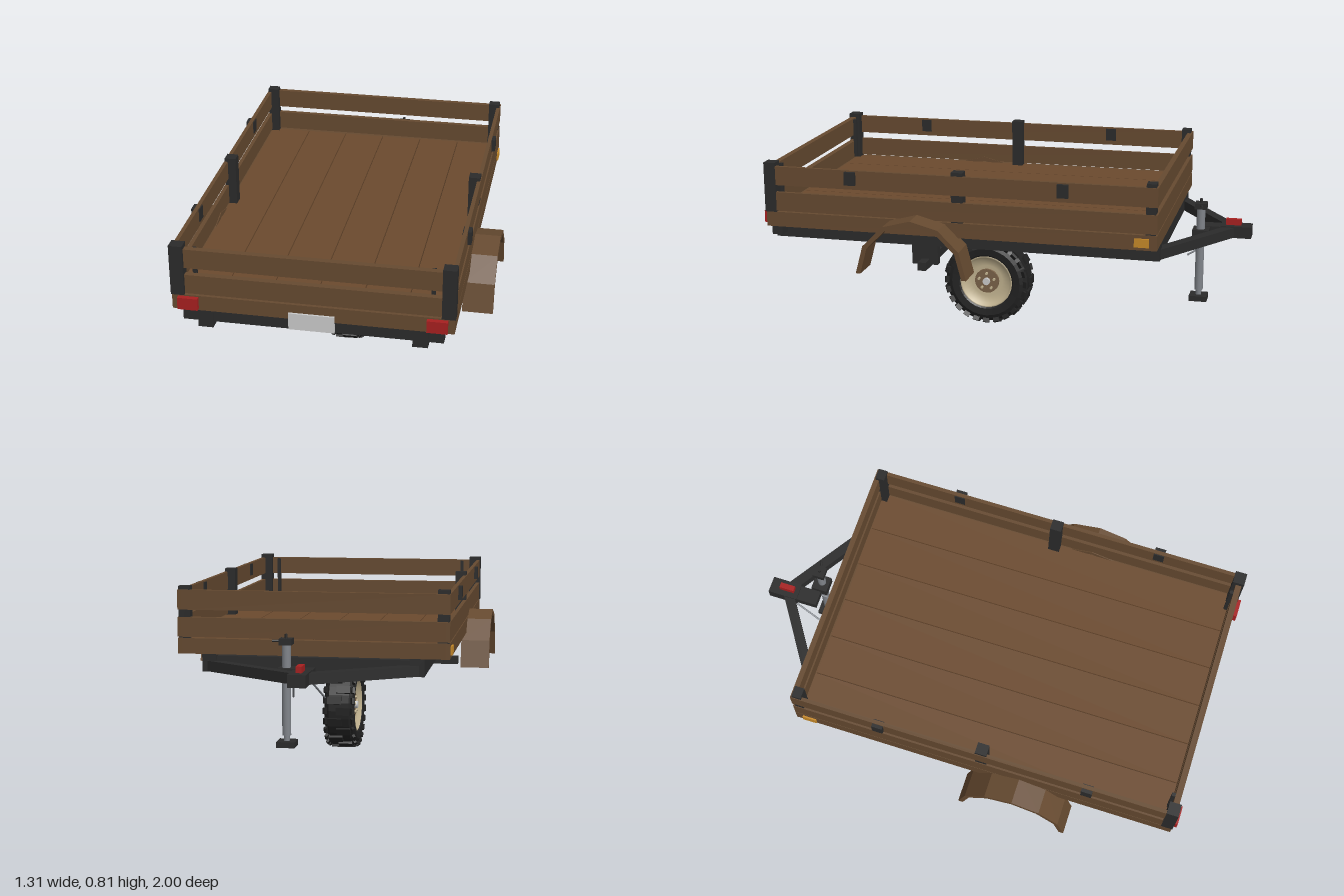
import * as THREE from 'three';

const mat = (color, extra = {}) => new THREE.MeshStandardMaterial({ color, roughness: 0.85, ...extra });

export function createModel() {
  const model = new THREE.Group();
  model.name = 'utilityTrailer';
  const wood = mat(0x6b4a2e), sideWood = mat(0x664a30), darkWood = mat(0x453120);
  const black = mat(0x2b2b2b), rubber = mat(0x222222, { flatShading: true });
  const red = mat(0xa82020), amber = mat(0xc88a28), cream = mat(0xc2b390), steel = mat(0x80848a);
  const grey = mat(0xcccccc), hubBrown = mat(0x7a6248);

  const add = (name, geo, material, parent = model) => {
    const m = new THREE.Mesh(geo, material);
    m.name = name;
    parent.add(m);
    return m;
  };
  // Box given by its minimum and maximum along each axis
  const box = (name, material, [x0, x1], [y0, y1], [z0, z1], parent = model) => {
    const m = add(name, new THREE.BoxGeometry(x1 - x0, y1 - y0, z1 - z0), material, parent);
    m.position.set((x0 + x1) / 2, (y0 + y1) / 2, (z0 + z1) / 2);
    return m;
  };
  // Same box on both sides of the centre line
  const pair = (name, material, [x0, x1], y, z) => {
    box(name + 'Left', material, [x0, x1], y, z);
    box(name + 'Right', material, [-x1, -x0], y, z);
  };
  // Square or round bar between two points
  const bar = (name, material, a, b, w, round = false) => {
    const p = new THREE.Vector3(...a), q = new THREE.Vector3(...b), len = p.distanceTo(q);
    const geo = round ? new THREE.CylinderGeometry(w / 2, w / 2, len, 12).rotateX(Math.PI / 2)
      : new THREE.BoxGeometry(w, w, len);
    const m = add(name, geo, material);
    m.position.copy(p).add(q).multiplyScalar(0.5);
    m.lookAt(q);
    return m;
  };

  // Floor: slab with six boards on top
  box('floorSlab', darkWood, [-0.535, 0.535], [0.537, 0.59], [-0.65, 0.96]);
  for (let i = 0; i < 6; i++) {
    const x = -0.535 + i * 0.1783;
    box('floorBoard', wood, [x + 0.002, x + 0.1763], [0.585, 0.6], [-0.65, 0.95]);
  }
  pair('sill', sideWood, [0.532, 0.55], [0.537, 0.6], [-0.672, 0.98]);
  box('frontSill', sideWood, [-0.532, 0.532], [0.537, 0.6], [0.95, 0.98]);
  box('backSill', sideWood, [-0.532, 0.532], [0.537, 0.6], [-0.672, -0.645]);

  // Two rows of wall planks all round
  for (const y of [[0.605, 0.685], [0.715, 0.795]]) {
    pair('sidePlank', sideWood, [0.534, 0.55], y, [-0.672, 0.978]);
    box('frontPlank', sideWood, [-0.498, 0.498], y, [0.95, 0.975]);
    box('backPlank', sideWood, [-0.534, 0.534], y, [-0.672, -0.65]);
  }

  // Posts, tailgate battens, clips and lamps
  for (const z of [[0.935, 0.984], [0.127, 0.176], [-0.665, -0.625]])
    pair('post', black, [0.5, z[0] > 0.9 ? 0.553 : 0.547], [0.6, 0.81], z);
  pair('tailgateBatten', black, [0.455, 0.47], [0.61, 0.79], [0.935, 0.952]);
  for (const z of [0.605, -0.29])
    pair('sideClip', black, [0.53, 0.565], [0.735, 0.79], [z - 0.023, z + 0.023]);
  pair('tailLamp', red, [0.445, 0.525], [0.545, 0.595], [0.975, 1]);
  pair('sideMarker', amber, [0.545, 0.557], [0.55, 0.586], [-0.64, -0.58]);
  box('numberPlate', grey, [-0.09, 0.09], [0.495, 0.565], [0.978, 0.988]);

  // Chassis
  pair('frameRail', black, [0.39, 0.45], [0.465, 0.537], [-0.67, 0.98]);
  box('endBeam', black, [-0.51, 0.51], [0.49, 0.537], [0.93, 0.975]);
  for (const z of [-0.64, -0.15, 0.32])
    box('crossBeam', black, [-0.4, 0.4], [0.468, 0.53], [z - 0.025, z + 0.025]);
  box('axle', black, [-0.5, 0.5], [0.37, 0.405], [0.302, 0.338]);
  pair('axleBracket', black, [0.407, 0.438], [0.38, 0.48], [0.268, 0.38]);

  // Fenders: faceted half rings
  const fender = new THREE.Shape();
  for (let i = 0; i <= 6; i++) {
    const a = i * Math.PI / 6;
    fender[i ? 'lineTo' : 'moveTo'](0.235 * Math.cos(a), 0.235 * Math.sin(a));
  }
  for (let i = 6; i >= 0; i--) {
    const a = i * Math.PI / 6;
    fender.lineTo(0.215 * Math.cos(a), 0.215 * Math.sin(a));
  }
  const fenderGeo = new THREE.ExtrudeGeometry(fender, { depth: 0.125, bevelEnabled: false });
  fenderGeo.translate(0, 0, -0.0625).rotateY(Math.PI / 2);
  for (const s of [-1, 1])
    add(s > 0 ? 'fenderLeft' : 'fenderRight', fenderGeo, sideWood).position.set(s * 0.593, 0.39, 0.32);

  // Wheel, with its axis along x
  const wheel = new THREE.Group();
  wheel.name = 'wheel';
  wheel.position.set(0, 0.195, 0.16);
  model.add(wheel);
  const lathe = (pts, n) => new THREE.LatheGeometry(pts.map(p => new THREE.Vector2(...p)), n).rotateZ(-Math.PI / 2);
  add('tyre', lathe([[0.115, -0.055], [0.125, -0.064], [0.155, -0.068], [0.172, -0.06], [0.186, -0.045],
    [0.186, 0.045], [0.172, 0.06], [0.155, 0.068], [0.125, 0.064], [0.115, 0.055]], 32), rubber, wheel);
  for (let i = 0; i < 24; i++) {
    // Tread lugs alternate between the two shoulders
    const lug = new THREE.Group(), s = i % 2 ? 1 : -1;
    lug.rotation.x = i * Math.PI / 12;
    wheel.add(lug);
    box('treadLug', rubber, [s > 0 ? -0.012 : -0.05, s > 0 ? 0.05 : 0.012], [-0.195, -0.18], [-0.017, 0.017], lug);
    for (const t of [-1, 1]) {
      const block = box('shoulderLug', rubber, [-0.006, 0.006], [-0.19, -0.16], [-0.014, 0.014], lug);
      block.position.x = t * 0.058;
      block.rotation.z = t * 0.55;
    }
  }
  for (const s of [-1, 1]) {
    const side = new THREE.Group();
    side.name = s > 0 ? 'rimLeft' : 'rimRight';
    side.rotation.y = s > 0 ? 0 : Math.PI;
    wheel.add(side);
    const dish = mat(0xc2b390, { side: THREE.DoubleSide });
    add('rimDish', lathe([[0.12, 0.058], [0.112, 0.062], [0.104, 0.045], [0.07, 0.036], [0, 0.036]], 32), dish, side);
    const disc = (name, r, depth, x, m, y = 0, z = 0) => {
      const d = add(name, new THREE.CylinderGeometry(r, r, depth, 20).rotateZ(Math.PI / 2), m, side);
      d.position.set(x, y, z);
    };
    disc('hubPlate', 0.055, 0.012, 0.04, hubBrown);
    disc('hubCap', 0.016, 0.03, 0.045, grey);
    for (let i = 0; i < 5; i++) {
      const a = i * Math.PI * 0.4 + Math.PI / 2;
      disc('wheelNut', 0.006, 0.012, 0.05, cream, 0.036 * Math.sin(a), 0.036 * Math.cos(a));
    }
  }

  // Drawbar, coupler and safety chains
  for (const s of [-1, 1]) {
    bar('drawbar', black, [s * 0.42, 0.488, -0.65], [0, 0.488, -0.925], 0.043);
    bar('safetyChain', steel, [s * 0.035, 0.47, -0.875], [s * 0.063, 0.385, -0.735], 0.008, true);
  }
  box('couplerBody', black, [-0.033, 0.033], [0.475, 0.51], [-0.9, -0.78]);
  box('couplerHead', black, [-0.036, 0.036], [0.465, 0.515], [-1, -0.87]);
  box('couplerLever', red, [-0.012, 0.012], [0.512, 0.54], [-0.955, -0.89]);

  // Jack stand
  bar('jackTube', steel, [0.08, 0.24, -0.79], [0.08, 0.605, -0.79], 0.036, true);
  bar('jackLeg', steel, [0.08, 0.21, -0.79], [0.08, 0.3, -0.79], 0.024, true);
  box('jackClamp', black, [0.04, 0.11], [0.47, 0.51], [-0.827, -0.757]);
  box('jackFoot', black, [0.042, 0.115], [0.195, 0.218], [-0.828, -0.752]);
  box('jackHead', black, [0.055, 0.105], [0.6, 0.625], [-0.815, -0.765]);
  bar('jackCrank', black, [0.08, 0.615, -0.79], [0.135, 0.615, -0.8], 0.01, true);
  bar('jackKnob', black, [0.08, 0.61, -0.79], [0.08, 0.642, -0.79], 0.012, true);
  return model;
}
